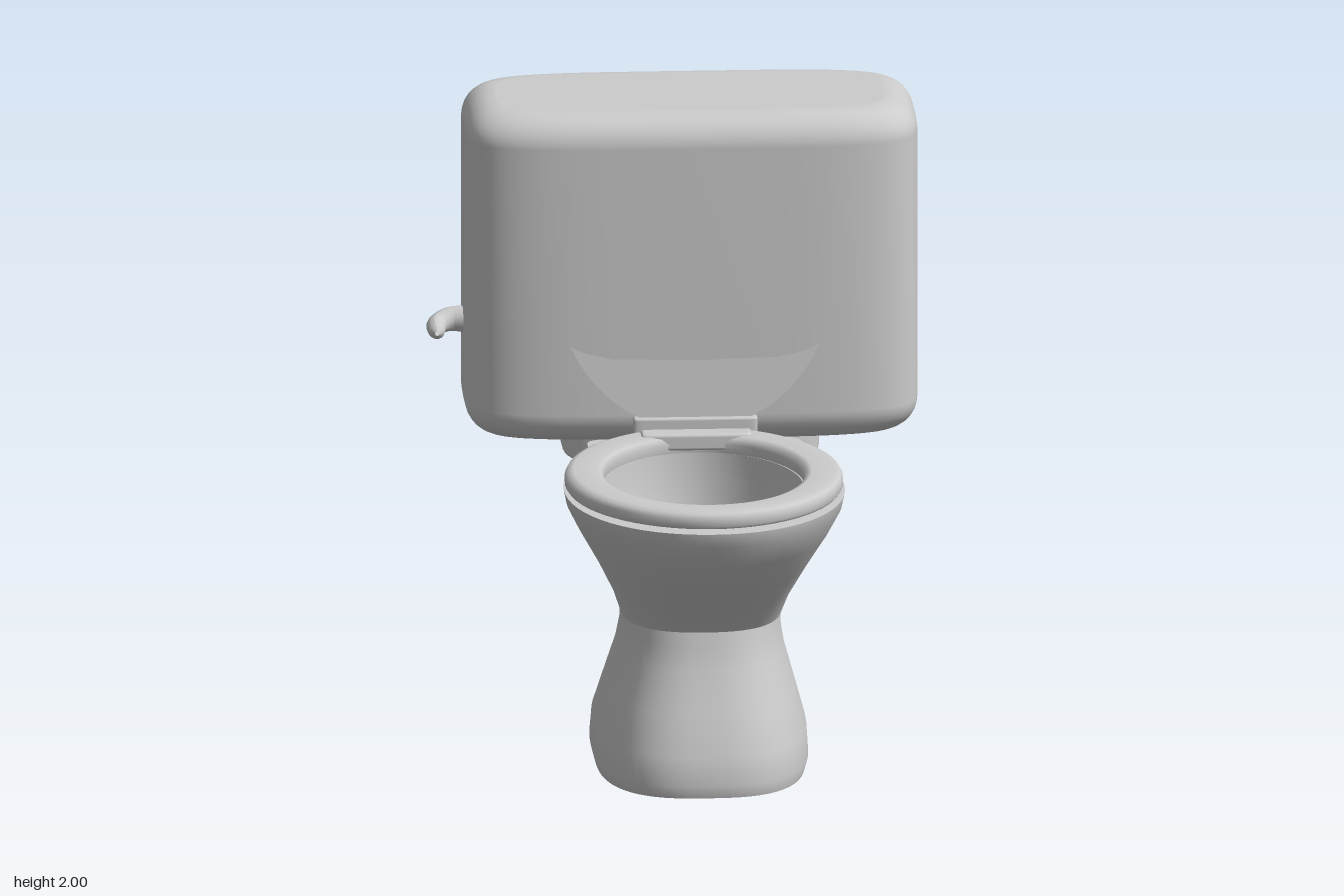
import * as THREE from 'three';

const material = new THREE.MeshStandardMaterial({ color: 0xcccccc, side: THREE.DoubleSide });
const SEGMENTS = 64;

// Skins superellipse rings [y, halfWidth, zBack, zFront, exponent].
// A repeated ring makes a sharp crease.
function loft(rings, capStart = true, capEnd = true) {
  const positions = [], index = [];
  const addRing = ([y, halfWidth, zBack, zFront, n = 2]) => {
    for (let i = 0; i < SEGMENTS; i++) {
      const a = (i / SEGMENTS) * Math.PI * 2, c = Math.cos(a), s = Math.sin(a);
      const x = Math.sign(c) * Math.abs(c) ** (2 / n) * halfWidth;
      const z = Math.sign(s) * Math.abs(s) ** (2 / n) * (zFront - zBack) / 2;
      positions.push(x, y, z + (zFront + zBack) / 2);
    }
  };
  rings.forEach(addRing);
  for (let j = 0; j < rings.length - 1; j++) {
    for (let i = 0; i < SEGMENTS; i++) {
      const a = j * SEGMENTS + i, b = j * SEGMENTS + (i + 1) % SEGMENTS;
      index.push(a, a + SEGMENTS, b + SEGMENTS, a, b + SEGMENTS, b);
    }
  }
  const addCap = (ring, isEnd) => {
    const first = positions.length / 3;
    addRing(ring);
    positions.push(0, ring[0], (ring[2] + ring[3]) / 2);
    for (let i = 0; i < SEGMENTS; i++) {
      const a = first + i, b = first + (i + 1) % SEGMENTS;
      index.push(first + SEGMENTS, isEnd ? b : a, isEnd ? a : b);
    }
  };
  if (capStart) addCap(rings[0], false);
  if (capEnd) addCap(rings.at(-1), true);
  const geometry = new THREE.BufferGeometry();
  geometry.setAttribute('position', new THREE.Float32BufferAttribute(positions, 3));
  geometry.setIndex(index);
  geometry.computeVertexNormals();
  return geometry;
}

// Block with a superellipse plan and rounded upper and lower edges
function softBlock(y0, y1, halfWidth, zBack, zFront, radius, n) {
  const rings = [], steps = 8;
  for (const top of [false, true]) {
    for (let k = 0; k <= steps; k++) {
      const a = ((top ? k : steps - k) / steps) * Math.PI / 2;
      const inset = radius * (1 - Math.cos(a)), rise = radius * (1 - Math.sin(a));
      rings.push([top ? y1 - rise : y0 + rise, halfWidth - inset, zBack + inset, zFront - inset, n]);
    }
  }
  return loft(rings);
}

// Tapered round bar along a curve
function taperedTube(points, startRadius, endRadius) {
  const curve = new THREE.CatmullRomCurve3(points.map(p => new THREE.Vector3(...p)));
  const rows = 20, sides = 16;
  const geometry = new THREE.TubeGeometry(curve, rows, 1, sides);
  const position = geometry.attributes.position, v = new THREE.Vector3();
  for (let i = 0; i < position.count; i++) {
    const t = Math.floor(i / (sides + 1)) / rows;
    const centre = curve.getPointAt(t);
    const radius = THREE.MathUtils.lerp(startRadius, endRadius, t) * Math.sqrt(Math.min(1, (1.01 - t) * 8));
    v.fromBufferAttribute(position, i).sub(centre).multiplyScalar(radius).add(centre);
    position.setXYZ(i, v.x, v.y, v.z);
  }
  geometry.computeVertexNormals();
  return geometry;
}

export function createModel() {
  const model = new THREE.Group();
  model.name = 'toilet';
  const add = (name, geometry) => {
    const mesh = new THREE.Mesh(geometry, material);
    mesh.name = name;
    model.add(mesh);
    return mesh;
  };

  // Flared foot
  add('pedestal', loft([
    [0, 0.325, -0.5, 0.495, 2.8],
    [0.04, 0.336, -0.515, 0.505, 2.8],
    [0.13, 0.33, -0.475, 0.49, 2.8],
    [0.26, 0.295, -0.38, 0.44, 2.7],
    [0.38, 0.262, -0.29, 0.395, 2.6],
    [0.45, 0.25, -0.255, 0.38, 2.5],
    [0.5, 0.247, -0.235, 0.37, 2.5],
  ]));

  // Bowl: outer wall, rim, hollow inside and drain
  const rimOuter = [0.945, 0.437, -0.26, 0.837, 2.1];
  const rimInner = [0.945, 0.31, -0.12, 0.665, 2];
  const drain = [0.55, 0.105, -0.03, 0.3, 2];
  add('bowl', loft([
    [0.5, 0.25, -0.235, 0.37, 2.5],
    [0.58, 0.275, -0.24, 0.455, 2.4],
    [0.7, 0.328, -0.255, 0.63, 2.2],
    [0.82, 0.39, -0.27, 0.775, 2.1],
    [0.9, 0.428, -0.265, 0.828, 2.1],
    rimOuter, rimOuter, rimInner, rimInner,
    [0.85, 0.295, -0.115, 0.63],
    [0.75, 0.255, -0.1, 0.56],
    [0.65, 0.2, -0.08, 0.45],
    [0.58, 0.14, -0.05, 0.345],
    drain, drain,
    [0.48, 0.1, -0.02, 0.29],
    [0.43, 0.075, 0.02, 0.25],
    [0.41, 0.035, 0.08, 0.19],
    [0.405, 0.002, 0.133, 0.137],
  ]));

  // Squared rear of the bowl that carries the hinges
  add('rearDeck', loft([
    [0.62, 0.21, -0.245, -0.12, 5],
    [0.78, 0.27, -0.27, -0.12, 5],
    [0.945, 0.333, -0.295, -0.12, 5],
  ]));

  // Seat ring, its section closed on itself
  const seatOuter = [0.945, 0.425, -0.235, 0.772];
  const seatInner = [0.945, 0.315, -0.12, 0.668];
  add('seat', loft([
    seatOuter, [0.955, 0.432, -0.24, 0.78], [0.978, 0.432, -0.24, 0.78],
    [0.993, 0.424, -0.232, 0.772], [1.0, 0.405, -0.215, 0.752],
    [1.0, 0.335, -0.14, 0.688], [0.993, 0.318, -0.125, 0.672],
    [0.975, 0.31, -0.115, 0.665], seatInner, seatInner, seatOuter,
  ], false, false));

  // Hinge bar and the step in front of it
  add('hingeBar', softBlock(0.99, 1.043, 0.193, -0.24, -0.163, 0.008, 12));
  add('hingeStep', softBlock(0.955, 1.008, 0.172, -0.2, -0.1, 0.01, 9));

  // Raised lid leaning back into the tank
  const outline = new THREE.Shape().absellipse(0, 0.47, 0.43, 0.47, 0, Math.PI * 2);
  const lid = add('lid', new THREE.ExtrudeGeometry(outline, { depth: 0.025, bevelEnabled: false, curveSegments: 48 }));
  lid.position.set(0, 1.0, -0.2);
  lid.rotation.x = -0.1;

  // Tank and the shelf under it
  add('tank', softBlock(0.945, 2, 0.705, -0.837, -0.197, 0.1, 4.6));
  add('tankShelf', softBlock(0.86, 0.96, 0.4, -0.75, -0.28, 0.02, 4));
  add('shelfBracket', softBlock(0.912, 0.945, 0.3, -0.3, -0.23, 0.005, 10));

  // Flush lever on the right side of the tank
  add('flushLever', taperedTube([
    [-0.67, 1.275, -0.52], [-0.745, 1.275, -0.522],
    [-0.785, 1.267, -0.49], [-0.79, 1.26, -0.405],
  ], 0.045, 0.024));

  model.children.forEach(part => { part.position.x += 0.053; });
  return model;
}
